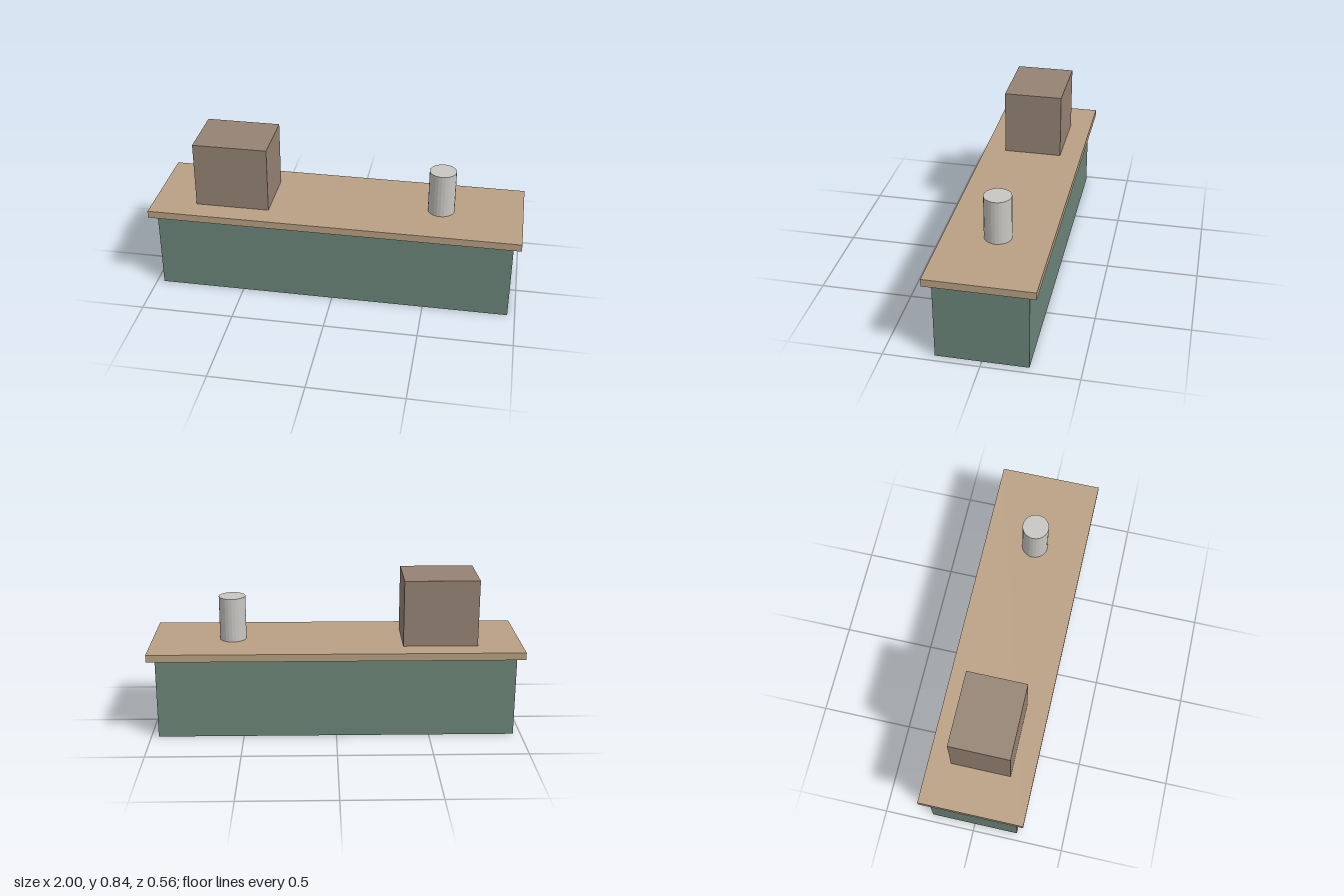
import * as THREE from 'three';

const material = (name, color, flatShading = false) => {
  const m = new THREE.MeshStandardMaterial({ color });
  m.name = name;
  m.flatShading = flatShading;
  return m;
};

export function createModel() {
  const group = new THREE.Group();
  group.name = 'counter';

  const green = material('muted green', 0x6c8579);
  const wood = material('light wood', 0xb9a083);
  const brown = material('grey brown', 0x958373);
  const silver = material('pale grey', 0xc8c7c3, true);

  // Adds a part whose underside rests at height y
  const add = (name, geometry, mat, x, y, height) => {
    const mesh = new THREE.Mesh(geometry, mat);
    mesh.name = name;
    mesh.position.set(x, y + height / 2, 0);
    group.add(mesh);
  };

  // Counter body and overhanging worktop
  add('counterBody', new THREE.BoxGeometry(1.92, 0.44, 0.48), green, 0, 0, 0.44);
  add('worktop', new THREE.BoxGeometry(2, 0.04, 0.56), wood, 0, 0.44, 0.04);

  // Items standing on the worktop
  add('machineBox', new THREE.BoxGeometry(0.4, 0.36, 0.32), brown, -0.56, 0.48, 0.36);
  add('canister', new THREE.CylinderGeometry(0.072, 0.072, 0.24, 24), silver, 0.56, 0.48, 0.24);

  return group;
}
